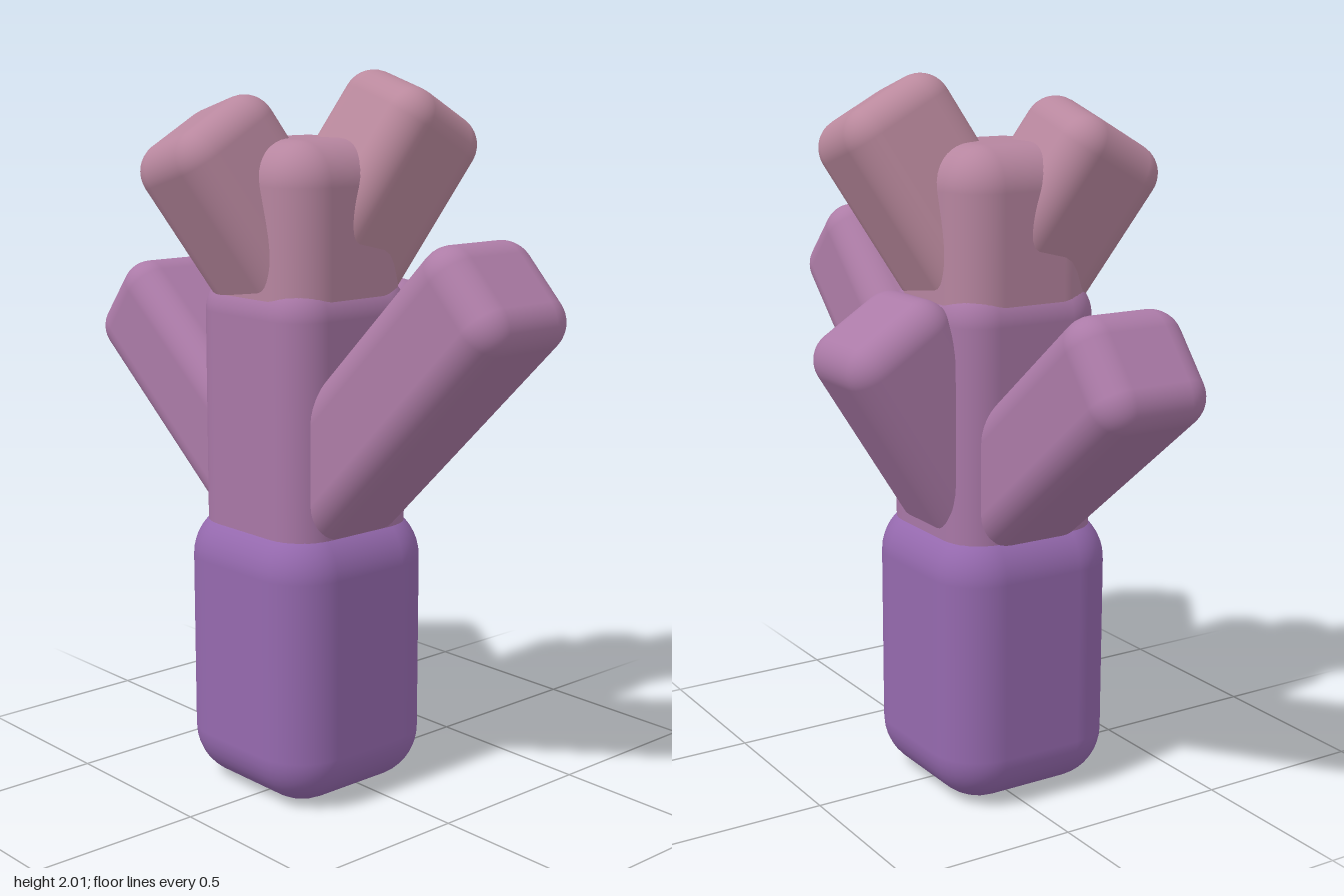
import * as THREE from 'three';
import { RoundedBoxGeometry } from 'three/addons/geometries/RoundedBoxGeometry.js';

const AXIS_X = -0.03, AXIS_Z = 0.05; // centre line of the trunk
const UP = new THREE.Vector3(0, 1, 0);

// A rounded square bar running from one point to another
function bar(name, from, to, width, depth, radius, color) {
  const a = new THREE.Vector3(...from);
  const b = new THREE.Vector3(...to);
  const dir = b.clone().sub(a);
  const mesh = new THREE.Mesh(
    new RoundedBoxGeometry(width, dir.length(), depth, 5, radius),
    new THREE.MeshStandardMaterial({ color })
  );
  mesh.name = name;
  mesh.position.copy(a).add(b).multiplyScalar(0.5);
  mesh.quaternion.setFromUnitVectors(UP, dir.normalize());
  return mesh;
}

export function createModel() {
  const group = new THREE.Group();
  group.name = 'branchingTrunk';

  // Stacked trunk: name, bottom, top, width, radius, colour
  const trunk = [
    ['trunkBase', 0, 0.81, 0.54, 0.15, 0x9569ae],
    ['trunkMiddle', 0.6, 1.47, 0.455, 0.11, 0xa877a6],
    ['trunkTop', 1.2, 1.83, 0.43, 0.12, 0xb6859f],
  ];
  for (const [name, y0, y1, w, r, color] of trunk) {
    group.add(bar(name, [AXIS_X, y0, AXIS_Z], [AXIS_X, y1, AXIS_Z], w, w, r, color));
  }

  // Branches leaving the trunk: name, start height, tip, colour
  const branches = [
    ['leftBranch', 0.77, [0.735, 1.515, AXIS_Z], 0xad7ca6],
    ['rightBranch', 0.78, [-0.745, 1.357, AXIS_Z], 0xab7aa7],
    ['backBranch', 0.75, [AXIS_X, 1.372, -0.345], 0xab7aa7],
    ['crownBackBranch', 1.39, [0.14, 1.937, -0.24], 0xba899d],
    ['crownFrontBranch', 1.38, [-0.18, 1.872, 0.323], 0xb8879e],
  ];
  for (const [name, y, tip, color] of branches) {
    group.add(bar(name, [AXIS_X, y, AXIS_Z], tip, 0.325, 0.34, 0.085, color));
  }
  return group;
}
